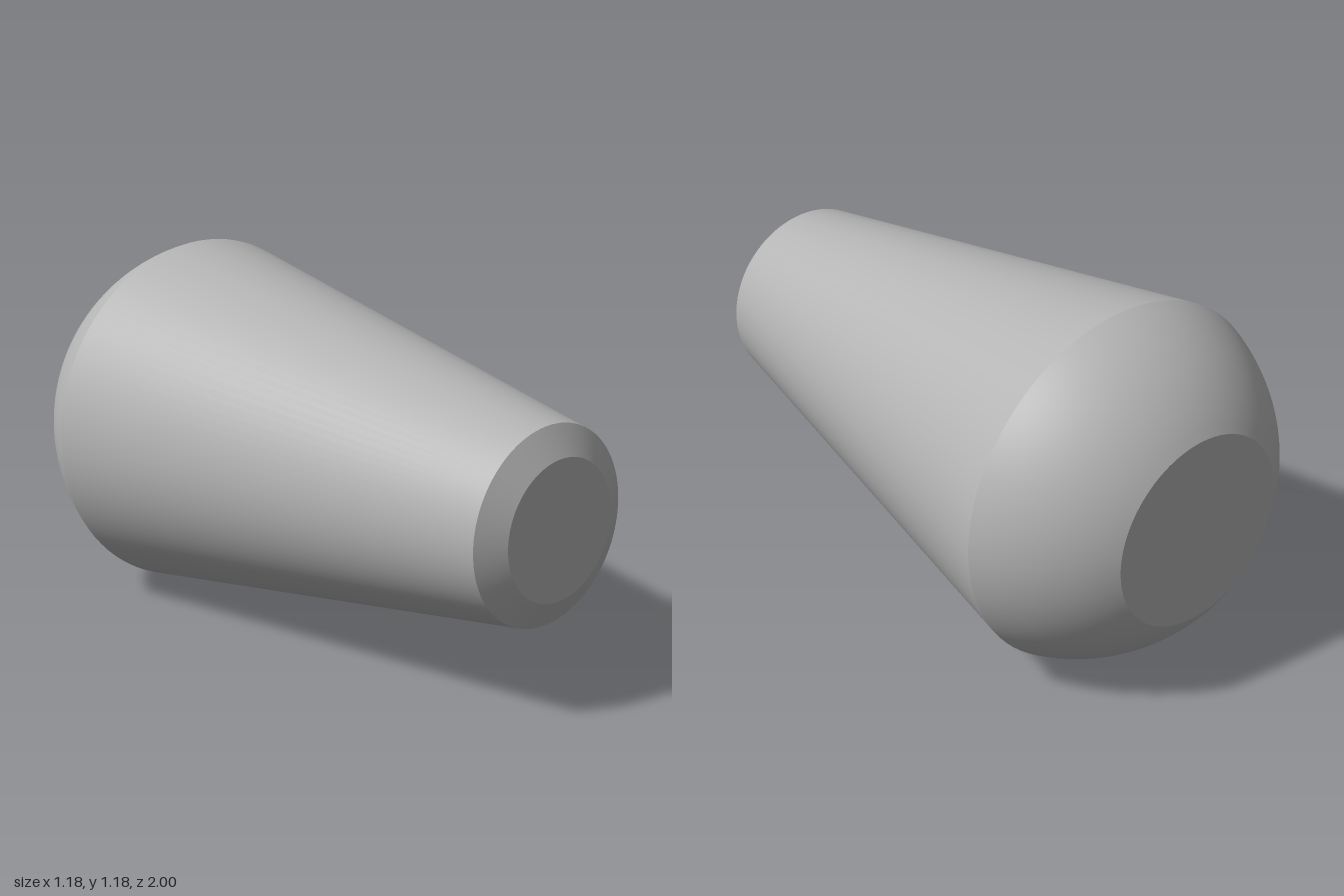
import * as THREE from 'three';

const SEGMENTS = 96;
const AXIS_HEIGHT = 0.59;

export function createModel() {
  const group = new THREE.Group();
  group.name = 'taperedKnob';
  const grey = new THREE.MeshStandardMaterial({ color: 0xb4b4b4 });
  grey.name = 'plain grey';

  // Turn a [radius, z] profile, ordered back to front, around the z axis
  const turn = (name, profile) => {
    const points = profile.map(([r, z]) => new THREE.Vector2(r, z));
    const geometry = new THREE.LatheGeometry(points, SEGMENTS);
    geometry.rotateX(Math.PI / 2);
    const mesh = new THREE.Mesh(geometry, grey);
    mesh.name = name;
    mesh.position.y = AXIS_HEIGHT;
    group.add(mesh);
  };

  // Rounded rear dome: an arc of a sphere centred on the axis
  const centre = -0.459;
  const start = Math.atan2(-1 - centre, 0.31);
  const end = Math.atan2(-0.66 - centre, 0.59);
  const radius = Math.hypot(0.59, -0.66 - centre);
  const dome = [];
  for (let i = 0; i <= 16; i++) {
    const a = start + (end - start) * i / 16;
    dome.push([radius * Math.cos(a), centre + radius * Math.sin(a)]);
  }

  // Separate surfaces keep the rims between them sharp
  turn('rearCap', [[0, -1], [0.31, -1]]);
  turn('rearDome', dome);
  turn('taperedBody', [[0.59, -0.66], [0.31, 0.95]]);
  turn('frontChamfer', [[0.31, 0.95], [0.22, 1]]);
  turn('frontCap', [[0.22, 1], [0, 1]]);

  return group;
}
